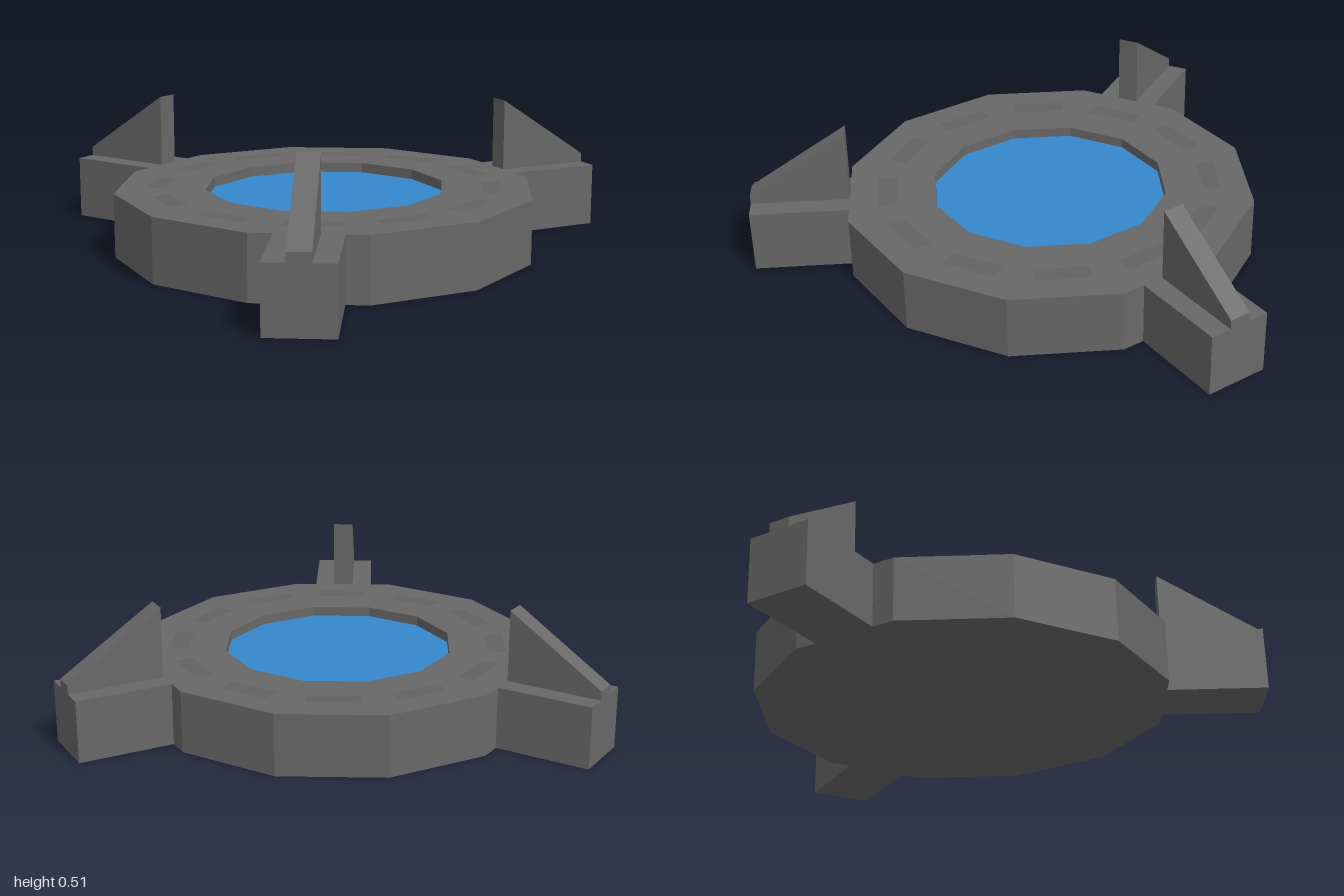
import * as THREE from 'three';

const SIDES = 12, RADIUS = 0.782, POOL = 0.448, HEIGHT = 0.238, WATER = 0.2;
const APOTHEM = RADIUS * Math.cos(Math.PI / SIDES);
const ARM_END = 1.123, ARM_WIDTH = 0.238, FIN_WIDTH = 0.08, FIN_TOP = 0.51;

const material = (color) => new THREE.MeshStandardMaterial({ color, flatShading: true });

function addMesh(parent, name, geometry, mat) {
  const mesh = new THREE.Mesh(geometry, mat);
  mesh.name = name;
  parent.add(mesh);
  return mesh;
}

export function createModel() {
  const model = new THREE.Group();
  model.name = 'poolPlatform';
  model.position.set(0, 0, 0);

  // The three arms are uneven about the origin, so the platform centre is offset
  const platform = new THREE.Group();
  platform.name = 'platform';
  platform.position.set(-0.12, 0, 0.115);
  model.add(platform);

  const stone = material(0x686868);
  const panel = material(0x626262);
  const water = material(0x3488cc);

  // Twelve-sided basin: closed floor, outer wall, flat rim and inner lip
  const profile = [
    [0, 0], [RADIUS, 0], [RADIUS, HEIGHT], [POOL, HEIGHT], [POOL, WATER - 0.01],
  ].map(([r, y]) => new THREE.Vector2(r, y));
  addMesh(platform, 'basin', new THREE.LatheGeometry(profile, SIDES), stone);

  // Sunken pool surface
  const pool = addMesh(platform, 'pool', new THREE.CircleGeometry(POOL, SIDES), water);
  pool.rotation.x = -Math.PI / 2;
  pool.position.y = WATER;

  // Faint flat panels, one in the middle of each rim facet
  for (let i = 0; i < SIDES; i++) {
    const pivot = new THREE.Group();
    pivot.name = 'rimPanel';
    pivot.rotation.y = ((i + 0.5) / SIDES) * Math.PI * 2;
    const plate = addMesh(pivot, 'panel', new THREE.PlaneGeometry(0.07, 0.2), panel);
    plate.rotation.x = -Math.PI / 2;
    plate.position.set(0.615, HEIGHT + 0.001, 0);
    platform.add(pivot);
  }

  // Sloping fin cross-section, extruded across the arm
  const finShape = new THREE.Shape([
    [APOTHEM, HEIGHT], [ARM_END, HEIGHT], [ARM_END, 0.272], [APOTHEM, FIN_TOP],
  ].map(([x, y]) => new THREE.Vector2(x, y)));
  const finGeometry = new THREE.ExtrudeGeometry(finShape, { depth: FIN_WIDTH, bevelEnabled: false });
  finGeometry.translate(0, 0, -FIN_WIDTH / 2);

  const armGeometry = new THREE.BoxGeometry(ARM_END - APOTHEM, HEIGHT, ARM_WIDTH);
  armGeometry.translate((ARM_END + APOTHEM) / 2, HEIGHT / 2, 0);

  // Three arms, each carrying a fin
  for (const degrees of [15, 135, 255]) {
    const arm = new THREE.Group();
    arm.name = 'arm';
    arm.rotation.y = -THREE.MathUtils.degToRad(degrees);
    addMesh(arm, 'armBlock', armGeometry, stone);
    addMesh(arm, 'armFin', finGeometry, stone);
    platform.add(arm);
  }

  return model;
}
